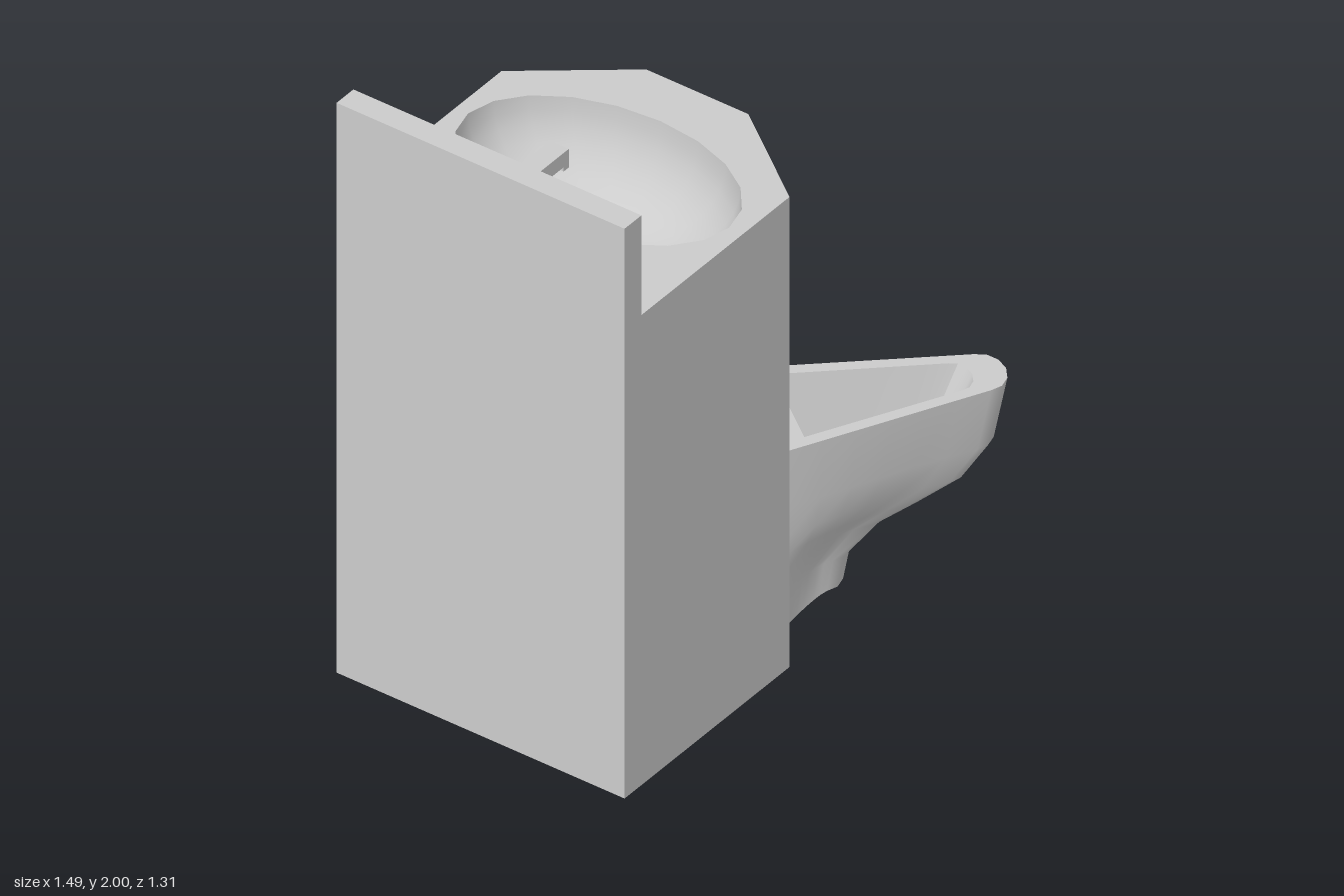
import * as THREE from 'three';
import { toCreasedNormals } from 'three/addons/utils/BufferGeometryUtils.js';

const grey = new THREE.MeshStandardMaterial({ color: 0xcccccc });
const greyDouble = new THREE.MeshStandardMaterial({ color: 0xcccccc, side: THREE.DoubleSide });
const greyFlat = new THREE.MeshStandardMaterial({ color: 0xcccccc, flatShading: true });

const HEIGHT = 1.65;
// cabinet footprint as [x, z], counter-clockwise seen from above
const FOOTPRINT = [[-0.745, 0.36], [0.04, 0.36], [0.29, 0.03], [0.29, -0.33], [0.04, -0.655], [-0.745, -0.655]];
const BASIN = { x: -0.18, z: -0.15, rx: 0.295, rz: 0.46, depth: 0.3, sides: 20 };
const PORT = { y: 0.965, z: -0.14, r: 0.07, depth: 0.12 };

function add(parent, name, geometry, material = grey, x = 0, y = 0, z = 0) {
  const mesh = new THREE.Mesh(geometry, material);
  mesh.name = name;
  mesh.position.set(x, y, z);
  parent.add(mesh);
  return mesh;
}

// Skin over closed rings that all have the same number of points
function loft(rings, crease) {
  const n = rings[0].length;
  const index = [];
  for (let i = 0; i < rings.length - 1; i++) {
    for (let j = 0; j < n; j++) {
      const a = i * n + j, b = i * n + (j + 1) % n;
      index.push(a, a + n, b, b, a + n, b + n);
    }
  }
  const geometry = new THREE.BufferGeometry().setFromPoints(rings.flat());
  geometry.setIndex(index);
  return toCreasedNormals(geometry, crease);
}

// Bowl cross-section: wide at the wall, tapering to a rounded tip
function bowlRing({ y, back = 0, tip, wall = 0.207, nose, flare = 1, round = 0.07 }) {
  const r = Math.min(round, (tip - back) * 0.5);
  const points = [], steps = 6;
  const side = (t, s) => points.push(new THREE.Vector3(
    back + (tip - r - back) * t, y, s * (nose + (wall - nose) * (1 - t) ** flare)));
  for (let i = 0; i < steps; i++) side(i / steps, 1);
  for (let i = 0; i <= 6; i++) {
    const a = Math.PI / 2 - (i / 6) * Math.PI;
    points.push(new THREE.Vector3(tip - r + r * Math.cos(a), y, nose * Math.sin(a)));
  }
  for (let i = steps - 1; i >= 0; i--) side(i / steps, -1);
  return points;
}

function createCabinet() {
  const cabinet = new THREE.Group();
  cabinet.name = 'cabinet';

  // side panels, with a round port in the narrow front one
  FOOTPRINT.forEach(([x, z], i) => {
    const [nx, nz] = FOOTPRINT[(i + 1) % FOOTPRINT.length];
    const w = Math.hypot(nx - x, nz - z);
    const shape = new THREE.Shape([[0, 0], [w, 0], [w, HEIGHT], [0, HEIGHT]].map(p => new THREE.Vector2(...p)));
    if (i === 2) shape.holes.push(new THREE.Path().absarc(z - PORT.z, PORT.y, PORT.r, 0, Math.PI * 2, true));
    const panel = add(cabinet, 'sidePanel', new THREE.ShapeGeometry(shape, 16), grey, x, 0, z);
    panel.rotation.y = Math.atan2(z - nz, nx - x);
  });

  // worktop with an oval opening
  const top = new THREE.Shape(FOOTPRINT.map(([x, z]) => new THREE.Vector2(x, -z)));
  const oval = [];
  for (let i = 0; i < BASIN.sides; i++) {
    const a = -i / BASIN.sides * Math.PI * 2;
    oval.push(new THREE.Vector2(BASIN.x + BASIN.rx * Math.cos(a), -BASIN.z + BASIN.rz * Math.sin(a)));
  }
  top.holes.push(new THREE.Path(oval));
  add(cabinet, 'worktop', new THREE.ShapeGeometry(top).rotateX(-Math.PI / 2), grey, 0, HEIGHT, 0);

  // underside
  const base = new THREE.Shape(FOOTPRINT.map(p => new THREE.Vector2(...p)));
  add(cabinet, 'underside', new THREE.ShapeGeometry(base).rotateX(Math.PI / 2));

  // basin
  const profile = [];
  for (let i = 0; i <= 10; i++) {
    const a = i / 10 * Math.PI / 2;
    profile.push(new THREE.Vector2(Math.sin(a), -Math.cos(a)));
  }
  const basin = new THREE.LatheGeometry(profile, BASIN.sides).scale(BASIN.rx, BASIN.depth, BASIN.rz);
  add(cabinet, 'basin', basin, greyDouble, BASIN.x, HEIGHT, BASIN.z);

  // recess behind the round port
  const tube = new THREE.CylinderGeometry(PORT.r, PORT.r, PORT.depth, 32, 1, true).rotateZ(Math.PI / 2);
  add(cabinet, 'portTube', tube, greyDouble, 0.29 - PORT.depth / 2, PORT.y, PORT.z);
  add(cabinet, 'portEnd', new THREE.CircleGeometry(PORT.r, 32).rotateY(Math.PI / 2), grey,
    0.29 - PORT.depth, PORT.y, PORT.z);

  // upright panel behind the basin
  add(cabinet, 'splashback', new THREE.BoxGeometry(0.08, 0.35, 1.015), grey, -0.705, 1.825, -0.1475);
  return cabinet;
}

function createTaps() {
  const taps = new THREE.Group();
  taps.name = 'taps';

  // spout with a small downward lip, drawn in side profile
  const outline = [[-0.665, 1.79], [-0.38, 1.79], [-0.38, 1.775], [-0.355, 1.775], [-0.355, 1.84], [-0.665, 1.84]];
  const spout = new THREE.ExtrudeGeometry(new THREE.Shape(outline.map(p => new THREE.Vector2(...p))),
    { depth: 0.066, bevelEnabled: false });
  add(taps, 'spout', spout, grey, 0, 0, -0.191);

  // square push buttons that flare outwards
  const profile = [[0.027, 0], [0.027, 0.02], [0.037, 0.04], [0.037, 0.045], [0, 0.045]]
    .map(([h, y]) => new THREE.Vector2(h * Math.SQRT2, y));
  const button = new THREE.LatheGeometry(profile, 4).rotateY(Math.PI / 4).rotateZ(-Math.PI / 2);
  for (const z of [-0.355, 0.06]) add(taps, 'pushButton', button, greyFlat, -0.665, 1.812, z);
  return taps;
}

function createBowl() {
  const bowl = new THREE.Group();
  bowl.name = 'toiletBowl';

  const outer = [
    { y: 0.76, tip: 0.70, nose: 0.09 },
    { y: 0.56, tip: 0.66, nose: 0.088, flare: 1.15 },
    { y: 0.46, tip: 0.58, nose: 0.085, flare: 1.4 },
    { y: 0.40, tip: 0.45, nose: 0.085, flare: 1.7 },
    { y: 0.35, tip: 0.34, nose: 0.08, flare: 1.8 },
    { y: 0.25, tip: 0.235, nose: 0.08, flare: 1.7 },
    { y: 0.155, tip: 0.215, nose: 0.09, flare: 1.2 },
    { y: 0.115, tip: 0.04, nose: 0.02, wall: 0.03 },
  ].map(bowlRing);
  const mouth = bowlRing({ y: 0.76, back: 0.058, tip: 0.60, wall: 0.157, nose: 0.068, round: 0.05 });
  const floor = bowlRing({ y: 0.45, back: 0.155, tip: 0.457, wall: 0.088, nose: 0.036, round: 0.04 });
  const drain = floor.map(() => new THREE.Vector3(0.3, 0.44, 0));
  const foot = outer[0].map(() => new THREE.Vector3(0, 0.112, 0));

  add(bowl, 'bowlOuter', loft([...outer, foot], 0.9));
  add(bowl, 'bowlRim', loft([mouth, outer[0]], 0.5));
  add(bowl, 'bowlInner', loft([drain, floor, mouth], 0.5));

  // faces out from the angled cabinet panel
  bowl.position.set(0.165, 0, 0.195);
  bowl.rotation.y = -Math.atan2(0.25, 0.33);
  return bowl;
}

export function createModel() {
  const model = new THREE.Group();
  model.name = 'sinkToiletUnit';
  model.add(createCabinet(), createTaps(), createBowl());
  return model;
}
